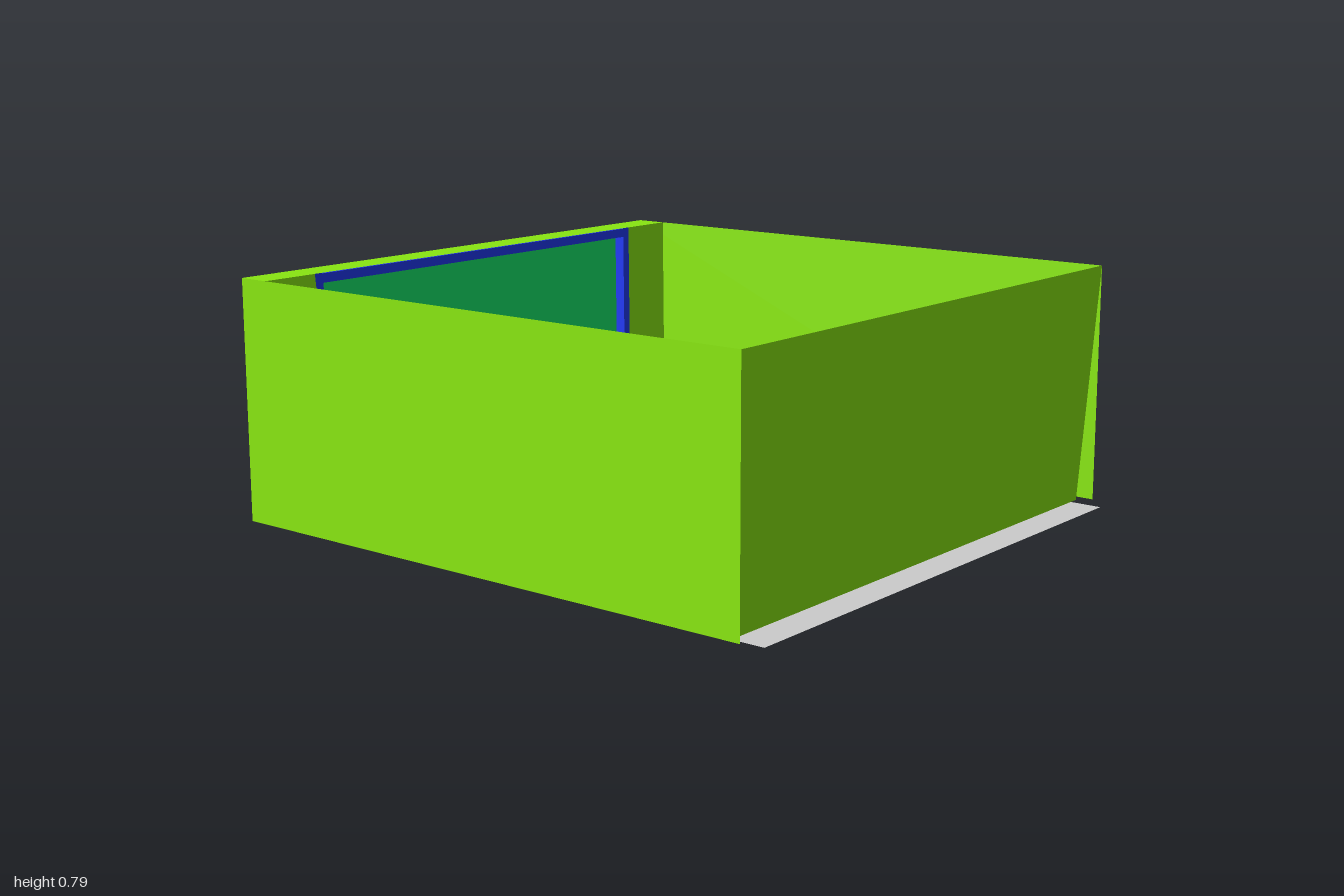
import * as THREE from 'three';

const Y0 = 0.01, Y1 = 0.79, INSET = 0.04;
const H = Y1 - Y0, MID = (Y0 + Y1) / 2;

const material = (color) =>
  new THREE.MeshStandardMaterial({ color, side: THREE.DoubleSide, flatShading: true });

// Draws every vertex toward the middle as it gets lower, so walls taper downward
function lean(geometry) {
  const p = geometry.attributes.position;
  for (let i = 0; i < p.count; i++) {
    const d = INSET * (Y1 - p.getY(i)) / H;
    const x = p.getX(i), z = p.getZ(i);
    p.setX(i, x - Math.sign(x) * d);
    p.setZ(i, z - Math.sign(z) * d);
  }
  geometry.computeVertexNormals();
  return geometry;
}

export function createModel() {
  const model = new THREE.Group();
  model.name = 'openBoxRoom';
  const green = material(0x88e611);
  const blue = material(0x2038f0);
  const teal = material(0x14e66a);
  const grey = material(0xcccccc);

  const add = (name, geometry, mat) => {
    const mesh = new THREE.Mesh(geometry, mat);
    mesh.name = name;
    model.add(mesh);
  };
  // Upright sheet facing +z, and flat sheet facing +y
  const sheet = (w, h, x, y, z) => new THREE.PlaneGeometry(w, h).translate(x, y, z);
  const flat = (w, d, y, z) =>
    new THREE.PlaneGeometry(w, d).rotateX(-Math.PI / 2).translate(0, y, z);

  // Floor, sliding a little past the front wall
  add('floor', flat(1.84, 1.85, 0, 0.075), grey);

  // Tapered front wall
  add('frontWall', lean(sheet(1.92, H, 0, MID, 0.95)), green);

  // Side walls: upright outer skin and leaning inner skin meeting at the top
  for (const [side, s] of [['left', 1], ['right', -1]]) {
    const skin = () => new THREE.PlaneGeometry(1.95, H)
      .rotateY(s * Math.PI / 2).translate(s * 0.96, MID, -0.025);
    add(side + 'OuterWall', skin(), green);
    add(side + 'InnerWall', lean(skin()), green);
    // Back wall panel beside the window
    add(side + 'BackPanel', lean(sheet(0.2, H, s * 0.86, MID, -0.89)), green);
    // Window jamb
    add(side + 'WindowJamb',
      lean(new THREE.BoxGeometry(0.03, H, 0.04).translate(s * 0.745, MID, -0.91)), blue);
  }

  // Ledges above and below the window recess
  add('topLedge', flat(1.92, 0.11, Y1, -0.945), green);
  add('bottomLedge', lean(flat(1.92, 0.11, Y0, -0.945)), green);

  // Window rails and pane
  for (const [name, y] of [['windowLintel', Y1 - 0.017], ['windowSill', Y0 + 0.017]]) {
    add(name, lean(new THREE.BoxGeometry(1.46, 0.03, 0.04).translate(0, y, -0.91)), blue);
  }
  add('windowPane', lean(sheet(1.46, H - 0.06, 0, MID, -0.928)), teal);

  return model;
}
